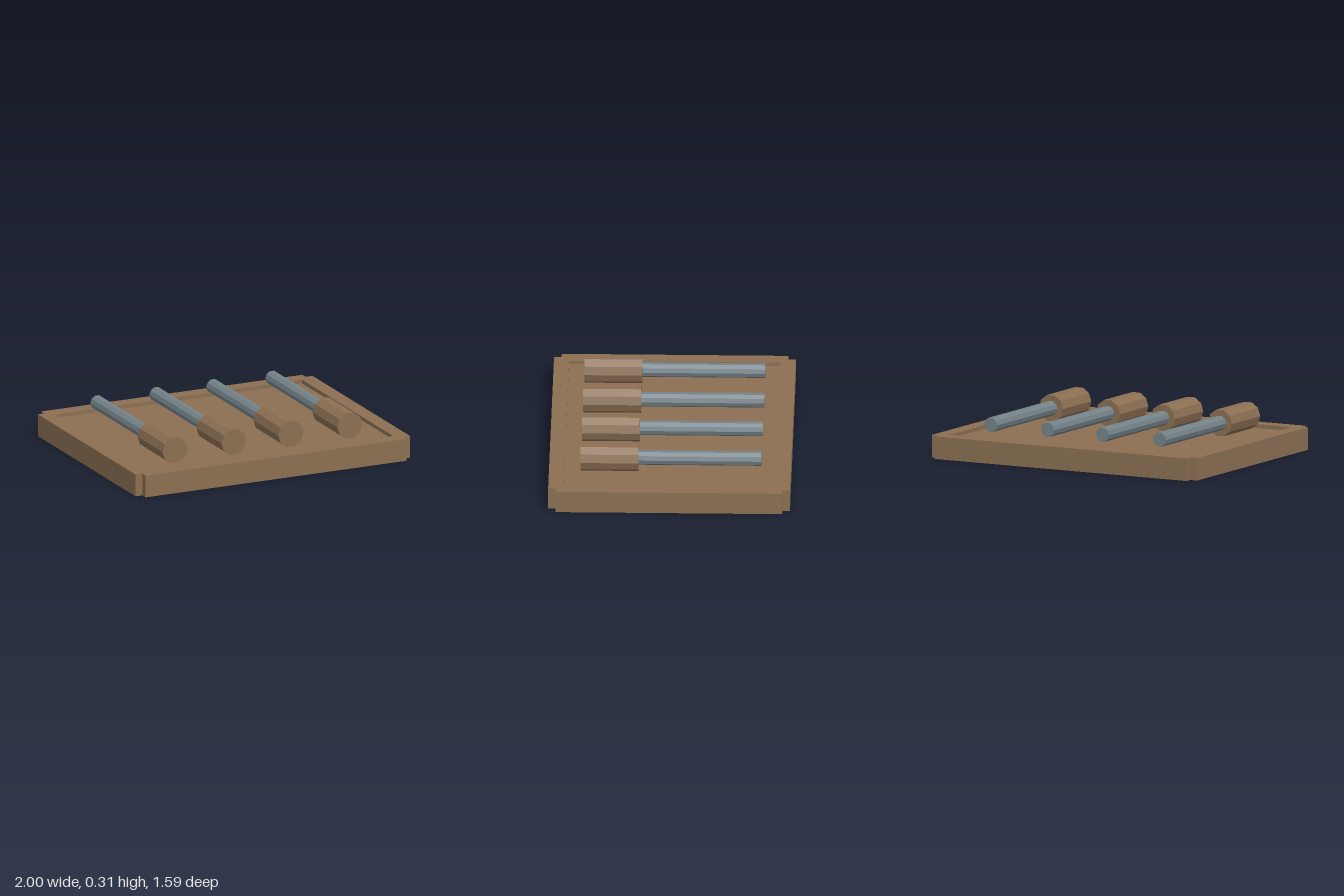
import * as THREE from 'three';

const wood = new THREE.MeshStandardMaterial({ name: 'brown wood', color: 0x8b6f52, flatShading: true });
const steel = new THREE.MeshStandardMaterial({ name: 'grey steel', color: 0x748389, flatShading: true });

const HEIGHT = 0.15, FLOOR = 0.125, AXIS_Y = 0.225;

// Rectangle outline with a small square notch cut from each corner
function trayOutline() {
  const x = 1, z = 0.795, n = 0.05;
  return new THREE.Shape([
    [x, -z + n], [x, z - n], [x - n, z - n], [x - n, z],
    [-x + n, z], [-x + n, z - n], [-x, z - n], [-x, -z + n],
    [-x + n, -z + n], [-x + n, -z], [x - n, -z], [x - n, -z + n],
  ].map(([a, b]) => new THREE.Vector2(a, b)));
}

// Upright slab from a plan outline
function slab(name, shape, y0, y1) {
  const geo = new THREE.ExtrudeGeometry(shape, { depth: y1 - y0, bevelEnabled: false });
  geo.rotateX(-Math.PI / 2).translate(0, y0, 0);
  const mesh = new THREE.Mesh(geo, wood);
  mesh.name = name;
  return mesh;
}

// Ten-sided bar lying along z, with a flat side on top
function bar(name, radius, z0, z1, material) {
  const geo = new THREE.CylinderGeometry(radius, radius, z1 - z0, 10);
  geo.rotateY(Math.PI / 2).rotateX(Math.PI / 2).translate(0, 0, (z0 + z1) / 2);
  const mesh = new THREE.Mesh(geo, material);
  mesh.name = name;
  return mesh;
}

export function createModel() {
  const model = new THREE.Group();
  model.name = 'toolTray';

  // Tray: solid base with a raised rim around the shallow recess
  const rim = trayOutline();
  const hx = 0.9, hz = 0.695;
  rim.holes.push(new THREE.Path([
    new THREE.Vector2(-hx, -hz), new THREE.Vector2(-hx, hz),
    new THREE.Vector2(hx, hz), new THREE.Vector2(hx, -hz),
  ]));
  model.add(slab('trayBase', trayOutline(), 0, FLOOR), slab('trayRim', rim, FLOOR, HEIGHT));

  // Row of four tools, handles towards the front
  for (const x of [-0.637, -0.207, 0.207, 0.637]) {
    const tool = new THREE.Group();
    tool.name = 'tool';
    tool.add(bar('handle', 0.091, 0.207, 0.587, wood), bar('shaft', 0.049, -0.603, 0.207, steel));
    tool.position.set(x, AXIS_Y, 0);
    model.add(tool);
  }
  return model;
}
